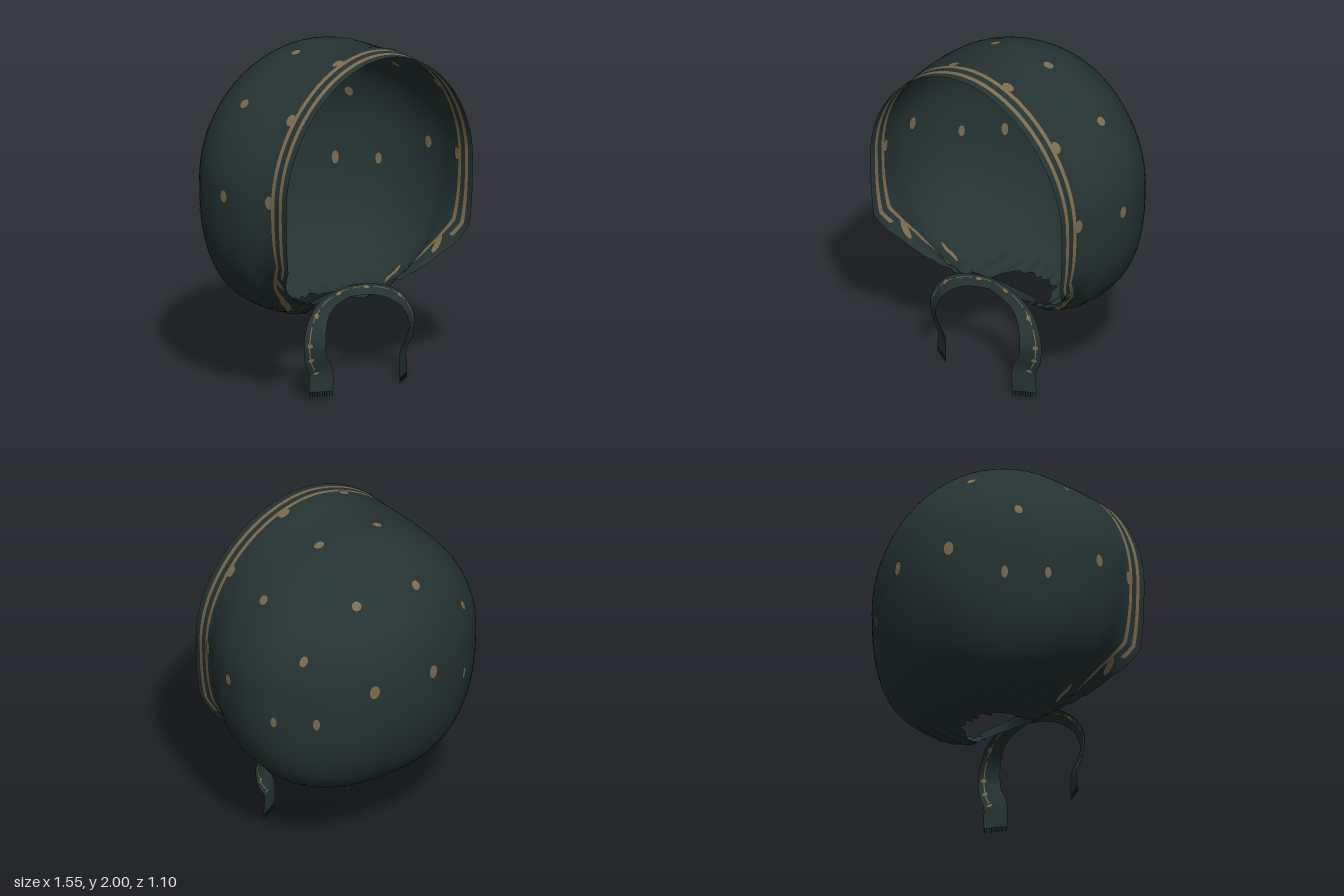
import * as THREE from 'three';
import { mergeVertices } from 'three/addons/utils/BufferGeometryUtils.js';

const cloth = new THREE.MeshStandardMaterial({ color: 0x263333, side: THREE.DoubleSide });
cloth.name = 'dark green cloth';
const print = new THREE.MeshStandardMaterial({ color: 0x7d6b4d, side: THREE.DoubleSide });
print.name = 'tan print';

// Piecewise linear or smooth lookup in a list of [key, value]
function lookup(table, x, smooth) {
  let i = 0;
  while (i < table.length - 2 && x > table[i + 1][0]) i++;
  const [x0, y0] = table[i], [x1, y1] = table[i + 1];
  const t = THREE.MathUtils.clamp((x - x0) / (x1 - x0), 0, 1);
  if (!smooth) return y0 + (y1 - y0) * t;
  const slope = (k) => {
    const a = table[Math.max(k - 1, 0)], b = table[Math.min(k + 1, table.length - 1)];
    return ((b[1] - a[1]) / (b[0] - a[0])) * (x1 - x0);
  };
  const t2 = t * t, t3 = t2 * t;
  return (2 * t3 - 3 * t2 + 1) * y0 + (t3 - 2 * t2 + t) * slope(i)
    + (3 * t2 - 2 * t3) * y1 + (t3 - t2) * slope(i + 1);
}

// Sheet of nu x nv cells; isPrint picks the tan cells
function sheet(name, nu, nv, point, isPrint) {
  const pos = [], plain = [], tan = [];
  for (let i = 0; i <= nu; i++) for (let j = 0; j <= nv; j++) pos.push(...point(i, j).toArray());
  for (let i = 0; i < nu; i++) for (let j = 0; j < nv; j++) {
    const a = i * (nv + 1) + j, b = a + nv + 1;
    (isPrint(i, j) ? tan : plain).push(a, b, a + 1, b, b + 1, a + 1);
  }
  let geo = new THREE.BufferGeometry();
  geo.setAttribute('position', new THREE.Float32BufferAttribute(pos, 3));
  geo.setIndex([...plain, ...tan]);
  geo = mergeVertices(geo, 1e-5);
  geo.clearGroups();
  geo.addGroup(0, plain.length, 0);
  geo.addGroup(plain.length, tan.length, 1);
  geo.computeVertexNormals();
  const mesh = new THREE.Mesh(geo, [cloth, print]);
  mesh.name = name;
  return mesh;
}

// Hood profile: s runs from 0 at the back to 1 at the face opening
const AXIS = 1.25;
const sOf = (z) => Math.sqrt(Math.max(0, (z + 0.55) / 1.1));
const byZ = (list) => list.map(([z, r]) => [sOf(z), r]);
const SIDE = byZ([[-0.55, 0], [-0.5, 0.27], [-0.4, 0.47], [-0.3, 0.6], [-0.2, 0.69], [-0.1, 0.74],
  [0, 0.765], [0.1, 0.77], [0.2, 0.765], [0.3, 0.74], [0.4, 0.705], [0.55, 0.7]]);
const TOP = byZ([[-0.55, 0], [-0.5, 0.31], [-0.4, 0.48], [-0.3, 0.58], [-0.2, 0.65], [-0.1, 0.695],
  [0, 0.718], [0.2, 0.725], [0.3, 0.735], [0.4, 0.748], [0.55, 0.73]]);
const BOTTOM = byZ([[-0.55, 0], [-0.5, 0.36], [-0.4, 0.595], [-0.28, 0.74], [-0.2, 0.785], [-0.12, 0.815],
  [0, 0.82], [0.1, 0.82], [0.2, 0.8], [0.28, 0.73], [0.4, 0.77], [0.55, 1.1]]);
// Front edge by angle from straight down: neck gap, slanted cheek edge, face opening
const EDGE = [[0, -0.12], [0.17, -0.08], [0.24, 0.05], [0.28, 0.2], [0.31, 0.28],
  [0.8, 0.41], [1.05, 0.53], [1.3, 0.535], [3.15, 0.55]];

function hoodPoint(angle, s) {
  const a = Math.abs(angle), c = Math.abs(Math.cos(a)), n = Math.abs(Math.sin(a));
  const low = a < Math.PI / 2, e = low ? 2.6 : 1.9;
  const w = Math.max(lookup(SIDE, s, true), 1e-5);
  const h = Math.max(lookup(low ? BOTTOM : TOP, s, true), 1e-5);
  let r = Math.pow(Math.pow(n / w, e) + Math.pow(c / h, e), -1 / e);
  // gathers fading away from the neck
  const fade = THREE.MathUtils.smoothstep(s, 0.45, 0.7) * (1 - THREE.MathUtils.smoothstep(a, 0.25, 0.8));
  r *= 1 + 0.012 * fade * Math.sin(a * 55);
  return new THREE.Vector3(r * Math.sin(angle), AXIS - r * Math.cos(angle), 1.1 * s * s - 0.55);
}

function makeHood() {
  const nu = 280, main = 36, insets = [0.125, 0.1, 0.065, 0.04, 0];
  const nv = main + insets.length - 1;
  const angleAt = (i) => -Math.PI + (2 * Math.PI * i) / nu;
  return sheet('hood', nu, nv, (i, j) => {
    const angle = angleAt(i), a = Math.abs(angle);
    const frayed = a < 0.27 ? 0.015 * Math.sin(a * 70) : 0;
    const edge = lookup(EDGE, a) + frayed;
    const s = j <= main ? sOf(edge - insets[0]) * (j / main) : sOf(edge - insets[j - main]);
    return hoodPoint(angle, s);
  }, (i, j) => {
    const a = Math.abs(angleAt(i + 0.5));
    return (j === main && a > 0.45) || (j === main + 2 && a > 0.95);
  });
}

// Printed dot lying on the hood, on the outside (+) or inside (-)
function makeDot(angle, s, ra, rs, offset) {
  const mid = hoodPoint(angle, s);
  const da = hoodPoint(angle + 0.01, s).sub(mid).divideScalar(0.01);
  const ds = hoodPoint(angle, s + 0.01).sub(mid).divideScalar(0.01);
  const normal = da.clone().cross(ds).normalize();
  if (normal.dot(new THREE.Vector3(mid.x, mid.y - AXIS, mid.z)) < 0) normal.negate();
  return sheet('printedDot', 14, 2, (i, j) => {
    const t = (i / 14) * Math.PI * 2, k = j / 2;
    return hoodPoint(angle + (k * ra * Math.cos(t)) / da.length(), s + (k * rs * Math.sin(t)) / ds.length())
      .addScaledVector(normal, offset);
  }, () => true);
}

// Tie ribbon: a strip swept along a curve, with a printed line, spots and a fringe
function makeRibbon(name, side, drop) {
  const group = new THREE.Group();
  group.name = name;
  const path = new THREE.CatmullRomCurve3([[-0.23, 0.5, 0.2], [-0.1, 0.55, 0.27], [0.03, 0.565, 0.3],
    [0.2, 0.535, 0.33], [0.31, 0.465, 0.37], [0.36, 0.35, 0.395], [0.345, 0.25, 0.39],
    [0.305, 0.17, 0.385], [0.305, drop, 0.385]].map(([x, y, z]) =>
    new THREE.Vector3(x * side, y, z + (side > 0 ? 0.008 : 0))));
  const across = [0, 0.24, 0.29, 0.65, 1];
  const point = (t, k, lift = 0) => {
    const p = path.getPoint(t), d = path.getTangent(t);
    const out = new THREE.Vector3(-d.y, d.x, 0).normalize().multiplyScalar(side);
    const width = lookup([[0, 0.05], [0.35, 0.055], [0.6, 0.1], [0.85, 0.115], [1, 0.12]], t);
    p.addScaledVector(out, width * (0.5 - k));
    p.z += (0.5 - k) * -0.07 * Math.min(1, t * 2) + lift;
    return p;
  };
  const n = 48;
  group.add(sheet('ribbonStrip', n, 4, (i, j) => point(i / n, across[j]),
    (i, j) => j === 1 && i > 8 && i < 42 && i % 5 !== 0));
  for (const t of [0.3, 0.48, 0.64, 0.74, 0.87]) for (const lift of [0.004, -0.004]) {
    group.add(sheet('ribbonSpot', 10, 1, (i, j) => {
      const a = (i / 10) * Math.PI * 2;
      return point(t + j * 0.014 * Math.cos(a), 0.27 + j * 0.13 * Math.sin(a), lift);
    }, () => true));
  }
  const thread = new THREE.BoxGeometry(0.004, 0.03, 0.003);
  for (let i = 0; i < 10; i++) {
    const strand = new THREE.Mesh(thread, cloth);
    strand.name = 'fringeThread';
    strand.position.copy(point(1, (i + 0.5) / 10));
    strand.position.y -= 0.012;
    group.add(strand);
  }
  return group;
}

export function createModel() {
  const model = new THREE.Group();
  model.name = 'tiedBonnet';
  model.add(makeHood());

  // angle, s, radius around, radius along
  const dots = [[1.72, 0.155, 0.042, 0.03], [2.77, 0.437, 0.028, 0.028], [1.99, 0.467, 0.033, 0.022],
    [1.255, 0.39, 0.038, 0.02], [1.326, 0.548, 0.033, 0.018], [2.87, 0.739, 0.03, 0.026],
    [2.26, 0.732, 0.028, 0.028], [1.545, 0.763, 0.036, 0.026], [0.57, 0.786, 0.075, 0.014],
    [0.85, 0.912, 0.06, 0.022], [2.87, 0.932, 0.036, 0.028], [2.26, 0.932, 0.036, 0.028],
    [1.57, 0.929, 0.04, 0.026]];
  for (const [angle, s, ra, rs] of dots)
    for (const side of [1, -1])
      for (const offset of [0.004, -0.004]) model.add(makeDot(angle * side, s, ra, rs, offset));

  model.add(makeRibbon('leftRibbon', 1, 0.028), makeRibbon('rightRibbon', -1, 0.055));
  return model;
}
